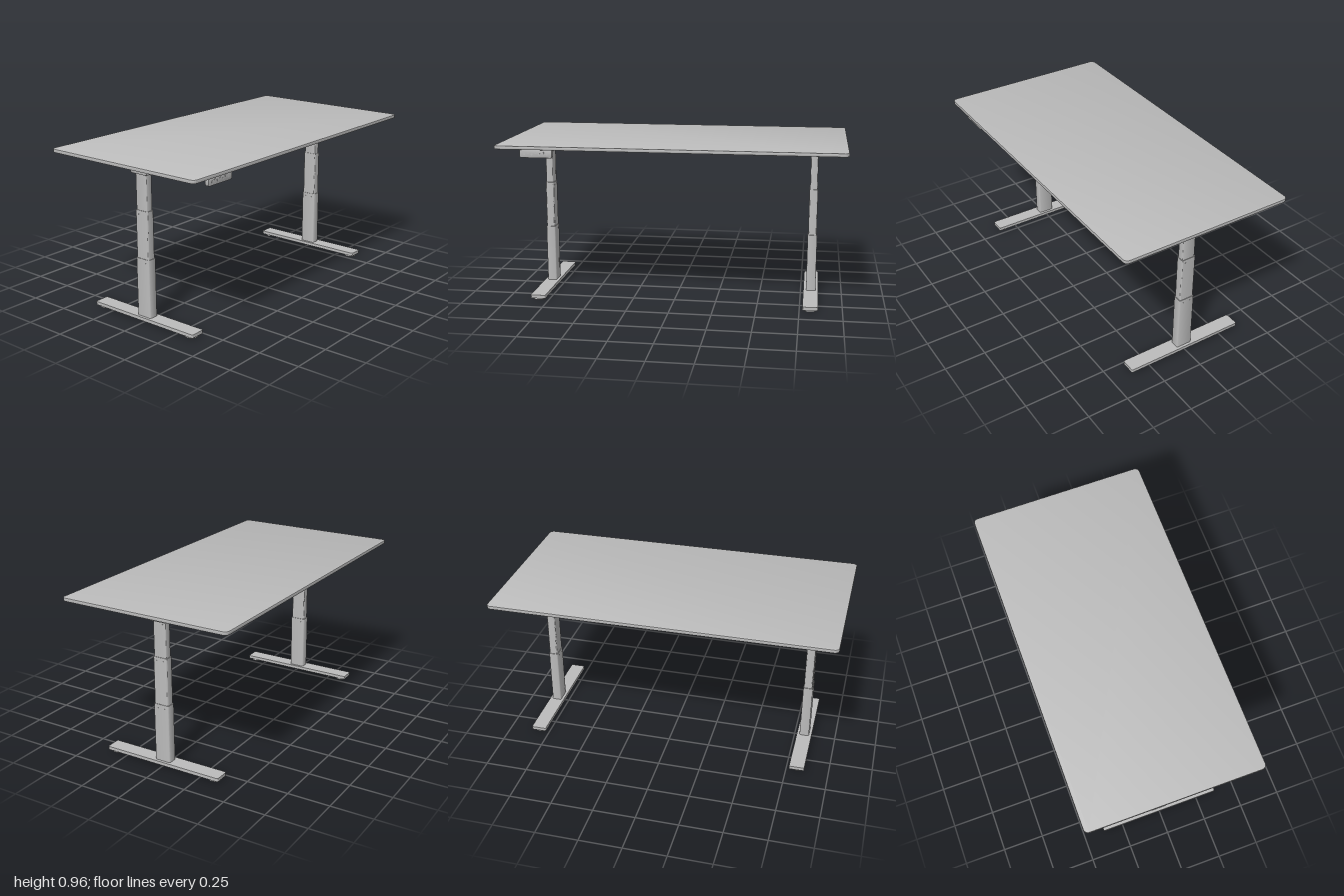
import * as THREE from 'three';
import { toCreasedNormals } from 'three/addons/utils/BufferGeometryUtils.js';

const grey = new THREE.MeshStandardMaterial({ color: 0xbcbcbc });
grey.name = 'grey';

function add(parent, name, geometry, x = 0, y = 0, z = 0) {
  const mesh = new THREE.Mesh(geometry, grey);
  mesh.name = name;
  mesh.position.set(x, y, z);
  parent.add(mesh);
  return mesh;
}

function trace(path, w, d, r) {
  const a = w / 2, b = d / 2;
  path.moveTo(-a + r, -b);
  path.lineTo(a - r, -b);
  path.absarc(a - r, -b + r, r, -Math.PI / 2, 0);
  path.lineTo(a, b - r);
  path.absarc(a - r, b - r, r, 0, Math.PI / 2);
  path.lineTo(-a + r, b);
  path.absarc(-a + r, b - r, r, Math.PI / 2, Math.PI);
  path.lineTo(-a, -b + r);
  path.absarc(-a + r, -b + r, r, Math.PI, Math.PI * 1.5);
  return path;
}

// Rounded rectangle w (x) by d (z), rising h from y = 0; wall > 0 makes it hollow
function slab(w, d, h, r, bevel = 0, wall = 0) {
  const shape = trace(new THREE.Shape(), w - 2 * bevel, d - 2 * bevel, r);
  if (wall) shape.holes.push(trace(new THREE.Path(), w - 2 * wall, d - 2 * wall, r * 0.6));
  const geo = new THREE.ExtrudeGeometry(shape, {
    depth: h - 2 * bevel, curveSegments: 6, bevelEnabled: bevel > 0,
    bevelSize: bevel, bevelThickness: bevel, bevelSegments: 2,
  });
  geo.translate(0, 0, bevel).rotateX(-Math.PI / 2);
  return toCreasedNormals(geo, 0.6);
}

function polygon(points, depth) {
  const shape = new THREE.Shape(points.map(([x, y]) => new THREE.Vector2(x, y)));
  return new THREE.ExtrudeGeometry(shape, { depth, bevelEnabled: false })
    .translate(0, 0, -depth / 2);
}

function createLeg(s) {
  const leg = new THREE.Group();
  leg.name = s > 0 ? 'leftLeg' : 'rightLeg';
  const x = s * 0.813;

  // Foot: shallow upturned tray with two round pads
  add(leg, 'footTop', slab(0.09, 0.75, 0.006, 0.008), x, 0.026, 0);
  add(leg, 'footRim', slab(0.09, 0.75, 0.014, 0.008, 0, 0.005), x, 0.012, 0);
  for (const z of [-0.33, 0.33]) {
    add(leg, 'footPad', new THREE.CylinderGeometry(0.036, 0.036, 0.01, 32), x, 0.005, z);
    add(leg, 'padStem', new THREE.CylinderGeometry(0.012, 0.012, 0.018, 16), x, 0.018, z);
  }

  // Three telescoping column stages: width, depth, bottom, top
  const stages = [
    [0.057, 0.098, 0.032, 0.38],
    [0.051, 0.09, 0.38, 0.66],
    [0.045, 0.082, 0.66, 0.875],
  ];
  for (const [w, d, y0, y1] of stages) {
    add(leg, 'columnStage', slab(w, d, y1 - y0, 0.008), x, y0, 0);
    // Small screws near the top of each stage
    for (const z of [-0.022, 0.022]) for (const side of [-1, 1]) {
      const screw = new THREE.CylinderGeometry(0.003, 0.003, 0.002, 10).rotateZ(Math.PI / 2);
      add(leg, 'screw', screw, x + side * w / 2, y1 - 0.022, z);
    }
  }

  // Motor housing with a slanted inner end
  add(leg, 'motorHousing', polygon([
    [s * 0.62, 0.896], [s * 0.635, 0.877], [s * 0.77, 0.874],
    [s * 0.77, 0.905], [s * 0.62, 0.905],
  ], 0.11));
  add(leg, 'columnCap', slab(0.09, 0.12, 0.034, 0.008, 0.002), s * 0.81, 0.871, 0);
  add(leg, 'mountPlate', new THREE.BoxGeometry(0.1, 0.006, 0.24), s * 0.8, 0.907, 0);

  // Side bracket tapered towards both ends
  const bracket = polygon([
    [-0.22, 0.94], [-0.22, 0.934], [-0.185, 0.906],
    [0.185, 0.906], [0.22, 0.934], [0.22, 0.94],
  ], 0.028).rotateY(Math.PI / 2);
  add(leg, 'sideBracket', bracket, s * 0.865, 0, 0);
  for (const z of [-0.08, -0.055, 0.055, 0.08]) {
    add(leg, 'bracketBolt', new THREE.CylinderGeometry(0.007, 0.007, 0.004, 12), s * 0.82, 0.903, z);
  }
  return leg;
}

function createRails() {
  const rails = new THREE.Group();
  rails.name = 'frameRails';
  for (const z of [-0.1, 0.1]) {
    add(rails, 'innerRail', new THREE.BoxGeometry(0.8, 0.022, 0.034), 0, 0.927, z);
    for (const s of [-1, 1]) {
      add(rails, 'outerRail', new THREE.BoxGeometry(0.495, 0.03, 0.044), s * 0.6075, 0.925, z);
      for (const bx of [0.4, 0.45]) {
        add(rails, 'railBolt', new THREE.CylinderGeometry(0.006, 0.006, 0.003, 12), s * bx, 0.9085, z);
      }
    }
  }
  return rails;
}

function createControlPanel() {
  const panel = new THREE.Group();
  panel.name = 'controlPanel';
  const body = slab(0.19, 0.05, 0.023, 0.008, 0.002).rotateX(Math.PI / 2);
  add(panel, 'controlBody', body, -0.76, 0.915, 0.474);
  // Row of thin buttons on the front
  for (let i = 0; i < 7; i++) {
    const button = new THREE.CylinderGeometry(0.006, 0.006, 0.002, 14).rotateX(Math.PI / 2);
    add(panel, 'button', button, -0.826 + i * 0.022, 0.915 + (i % 2 ? 0.004 : -0.004), 0.4975);
  }
  return panel;
}

export function createModel() {
  const desk = new THREE.Group();
  desk.name = 'standingDesk';
  add(desk, 'tabletop', slab(2, 1.052, 0.02, 0.025, 0.002), 0, 0.94, 0);
  desk.add(createRails(), createControlPanel(), createLeg(1), createLeg(-1));
  return desk;
}
